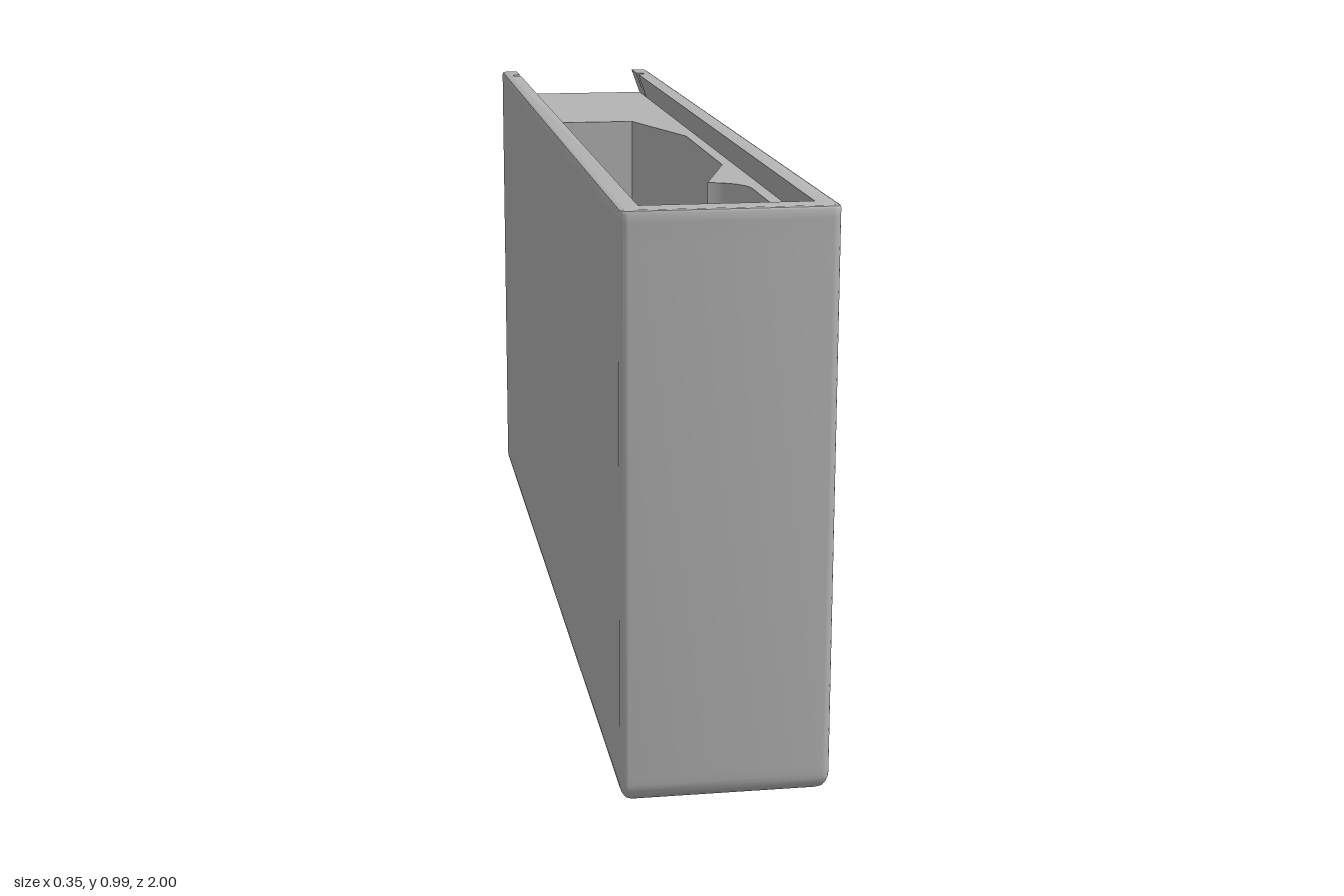
import * as THREE from 'three';
import { toCreasedNormals } from 'three/addons/utils/BufferGeometryUtils.js';

// Outlines are drawn in plan with 2D y = -z (back is +y), counter-clockwise.
const HALF_W = 0.175, HALF_L = 1, CORNER = 0.014;
const BASE_Y = 0.05, DECK_Y = 0.93, TOP_Y = 0.985;
const V = (x, y) => new THREE.Vector2(x, y);

function arc(cx, cy, r, from, to, steps) {
  const pts = [];
  for (let i = 0; i <= steps; i++) {
    const a = THREE.MathUtils.degToRad(from + (to - from) * i / steps);
    pts.push(V(cx + r * Math.cos(a), cy + r * Math.sin(a)));
  }
  return pts;
}

// Rounded rectangle; extra points may be inserted in its back edge
function outline(inset, extra = []) {
  const w = HALF_W - inset, l = HALF_L - inset, r = Math.max(CORNER - inset, 0.004);
  return [
    ...arc(-w + r, -l + r, r, 180, 270, 5),
    ...arc(w - r, -l + r, r, 270, 360, 5),
    ...arc(w - r, l - r, r, 0, 90, 5),
    ...extra,
    ...arc(-w + r, l - r, r, 90, 180, 5),
  ];
}

// Joins outlines at rising heights, with optional end caps
function loft(levels, capBottom, capTop) {
  const pos = [];
  const put = (level, i) => {
    const p = level.pts[i % level.pts.length];
    pos.push(p.x, level.y, -p.y);
  };
  for (let k = 0; k < levels.length - 1; k++) {
    const lo = levels[k], hi = levels[k + 1];
    for (let i = 0; i < lo.pts.length; i++) {
      put(lo, i); put(lo, i + 1); put(hi, i + 1);
      put(lo, i); put(hi, i + 1); put(hi, i);
    }
  }
  const cap = (level, up) => {
    for (const [a, b, c] of THREE.ShapeUtils.triangulateShape(level.pts.slice(), [])) {
      for (const i of up ? [a, b, c] : [a, c, b]) put(level, i);
    }
  };
  if (capBottom) cap(levels[0], false);
  if (capTop) cap(levels[levels.length - 1], true);
  const g = new THREE.BufferGeometry();
  g.setAttribute('position', new THREE.Float32BufferAttribute(pos, 3));
  return toCreasedNormals(g, 0.5);
}

// Bottom slab with rounded lower edges; its top is the compartment floor
function baseGeometry() {
  const levels = [], r = 0.035;
  for (let i = 0; i <= 6; i++) {
    const a = i / 6 * Math.PI / 2;
    levels.push({ y: r * (1 - Math.cos(a)), pts: outline(r * (1 - Math.sin(a))) });
  }
  levels.push({ y: BASE_Y, pts: outline(0) });
  return loft(levels, true, true);
}

// Tall walls around the shaped compartment
function wallGeometry() {
  const shape = new THREE.Shape(outline(0));
  const pocket = [
    V(-0.143, 0.455), V(0.06, 0.455), V(0.137, 0.205), V(0.137, -0.2), V(0.07, -0.41),
    ...arc(0.062, -0.485, 0.075, 80, 0, 8),
    ...arc(0.057, -0.875, 0.08, 0, -90, 8),
    ...arc(-0.063, -0.875, 0.08, -90, -180, 8),
    V(-0.143, -0.485), V(-0.132, -0.45), V(-0.143, -0.45),
  ];
  shape.holes.push(new THREE.Path(pocket));
  const g = new THREE.ExtrudeGeometry(shape, { depth: DECK_Y - BASE_Y, bevelEnabled: false });
  g.rotateX(-Math.PI / 2).translate(0, BASE_Y, 0);
  return toCreasedNormals(g, 0.5);
}

// U-shaped rim with undercut lid groove, open at the back, and two catch notches
function rimGeometry() {
  const level = (y, inset) => {
    const t = (y - DECK_Y) / (TOP_Y - DECK_Y);
    const x = 0.16 - 0.02 * t, front = -0.975 + 0.02 * t;
    const right = [
      V(x, HALF_L - inset),
      ...arc(0.14, 0.905, 0.017, 90, -90, 10).map(p => V(Math.max(x, p.x), p.y)),
      V(x, front),
    ];
    const left = right.map(p => V(-p.x, p.y)).reverse();
    return { y, pts: outline(inset, [...right, ...left]) };
  };
  return loft([
    level(DECK_Y, 0), level(0.95, 0), level(0.965, 0), level(0.98, 0),
    level(0.9835, 0.0015), level(TOP_Y, 0.005),
  ], false, true);
}

export function createModel() {
  const grey = new THREE.MeshStandardMaterial({ color: 0xb4b4b4 });
  grey.name = 'plain grey';
  const group = new THREE.Group();
  group.name = 'slidingLidBox';
  const parts = { base: baseGeometry(), compartmentWalls: wallGeometry(), lidRim: rimGeometry() };
  for (const [name, geometry] of Object.entries(parts)) {
    const mesh = new THREE.Mesh(geometry, grey);
    mesh.name = name;
    group.add(mesh);
  }
  return group;
}
